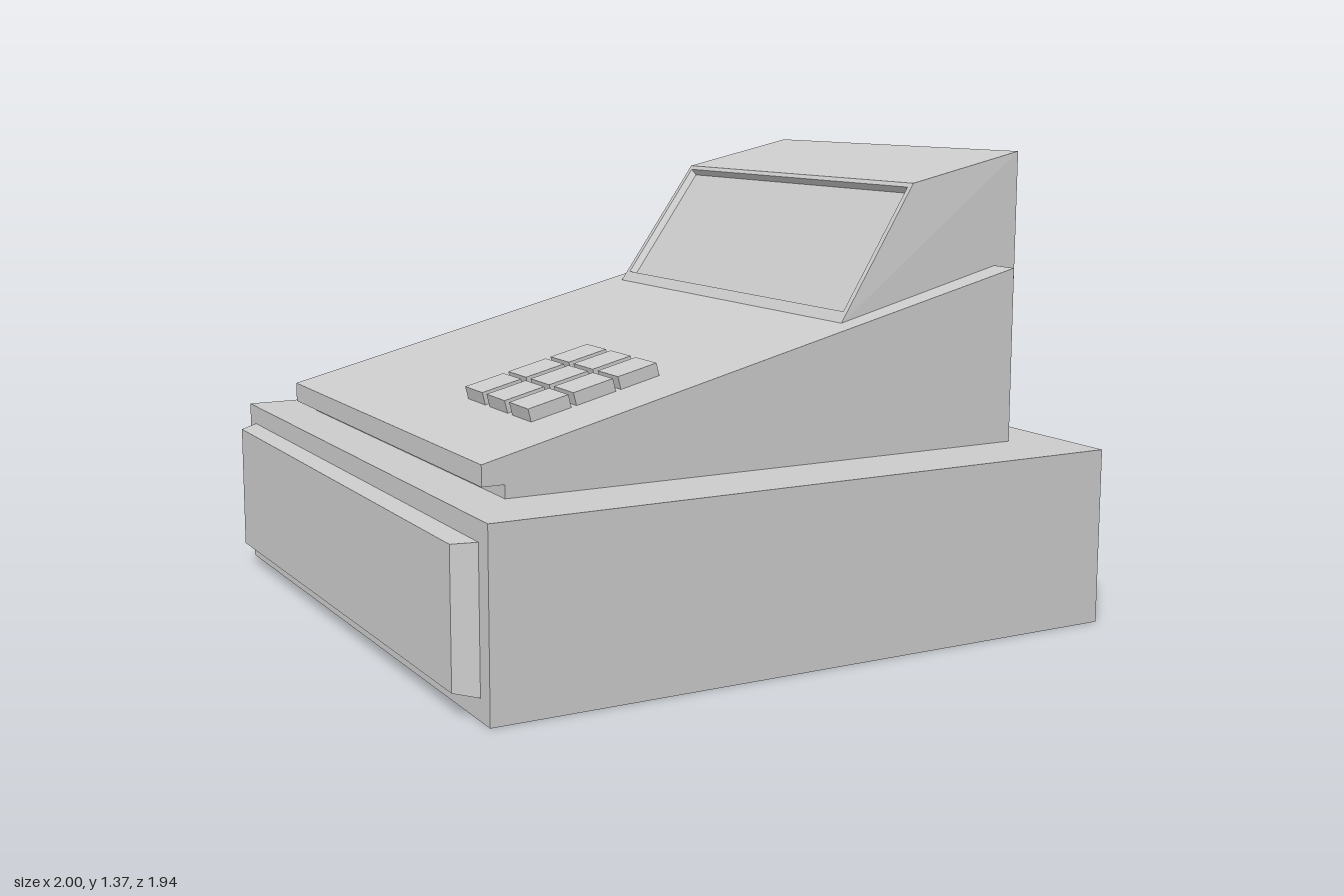
import * as THREE from 'three';

const material = new THREE.MeshStandardMaterial({ color: 0xcccccc, flatShading: true });

function add(group, name, geometry) {
  const mesh = new THREE.Mesh(geometry, material);
  mesh.name = name;
  group.add(mesh);
  return mesh;
}

// Builds flat faces from corner loops listed counter-clockwise seen from outside
function facesGeometry(faces) {
  const pos = [];
  for (const f of faces)
    for (let i = 1; i < f.length - 1; i++)
      for (const p of [f[0], f[i], f[i + 1]]) pos.push(p.x, p.y, p.z);
  const g = new THREE.BufferGeometry();
  g.setAttribute('position', new THREE.Float32BufferAttribute(pos, 3));
  g.computeVertexNormals();
  return g;
}

// Quads joining two loops, outer to inner
const ring = (a, b) => a.map((p, i) => {
  const j = (i + 1) % a.length;
  return [p, a[j], b[j], b[i]];
});

// Display housing: side profile with its own half width at every corner
function displayHousing() {
  const profile = [ // x, y, half width
    [0.29, 0.892, 0.665], [0.29, 0.75, 0.665], [0.7, 0.595, 0.662],
    [0.91, 0.595, 0.66], [0.93, 1.365, 0.64], [0.55, 1.28, 0.64],
  ];
  const near = profile.map(([x, y, w]) => new THREE.Vector3(x, y, w));
  const far = profile.map(([x, y, w]) => new THREE.Vector3(x, y, -w));
  const faces = [near, [...far].reverse()];
  const last = profile.length - 1;
  // Every strip except the sloping window face
  for (let i = 0; i < last; i++) faces.push([near[i], far[i], far[i + 1], near[i + 1]]);

  // Window face: frame, recess walls and sunken pane
  const outer = [near[last], far[last], far[0], near[0]];
  const at = (u, v) => {
    const top = outer[0].clone().lerp(outer[1], u);
    return top.lerp(outer[3].clone().lerp(outer[2], u), v);
  };
  const inset = (u, v) => [at(u, v), at(1 - u, v), at(1 - u, 0.92), at(u, 0.92)];
  const rim = inset(0.014, 0.03);
  const inward = new THREE.Vector3(0.83, -0.56, 0).multiplyScalar(0.02);
  const pane = inset(0.022, 0.05).map((p) => p.add(inward));
  faces.push(...ring(outer, rim), ...ring(rim, pane), pane);
  return facesGeometry(faces);
}

export function createModel() {
  const model = new THREE.Group();
  model.name = 'cashRegister';

  // Cash drawer case
  add(model, 'drawerCase', new THREE.BoxGeometry(1.94, 0.515, 1.94)).position.set(0.03, 0.2575, 0);

  // Drawer front, narrowing outwards
  const loop = (x, y0, y1, z) => [[y0, -z], [y0, z], [y1, z], [y1, -z]]
    .map(([y, w]) => new THREE.Vector3(x, y, w));
  const face = loop(-1, 0.07, 0.45, 0.872);
  add(model, 'drawerFront', facesGeometry([face, ...ring(loop(-0.94, 0.06, 0.457, 0.912), face)]));

  // Wedge-shaped body with an overhanging front lip
  const outline = [
    [-0.855, 0.552], [-0.79, 0.552], [-0.79, 0.515], [0.845, 0.515], [0.845, 1.03], [-0.855, 0.61],
  ].map(([x, y]) => new THREE.Vector2(x, y));
  const body = new THREE.ExtrudeGeometry(new THREE.Shape(outline), { depth: 1.48, bevelEnabled: false });
  add(model, 'body', body.translate(0, 0, -0.74));

  add(model, 'displayHousing', displayHousing());

  // Keypad lying on the slope
  const keypad = new THREE.Group();
  keypad.name = 'keypad';
  keypad.position.set(-0.425, 0.716, 0.327);
  keypad.rotation.z = Math.atan2(0.42, 1.7);
  const key = new THREE.BoxGeometry(0.124, 0.042, 0.122);
  for (let i = -1; i <= 1; i++)
    for (let j = -1; j <= 1; j++)
      add(keypad, 'key', key).position.set(i * 0.14, 0.0165, j * 0.152);
  model.add(keypad);

  return model;
}
